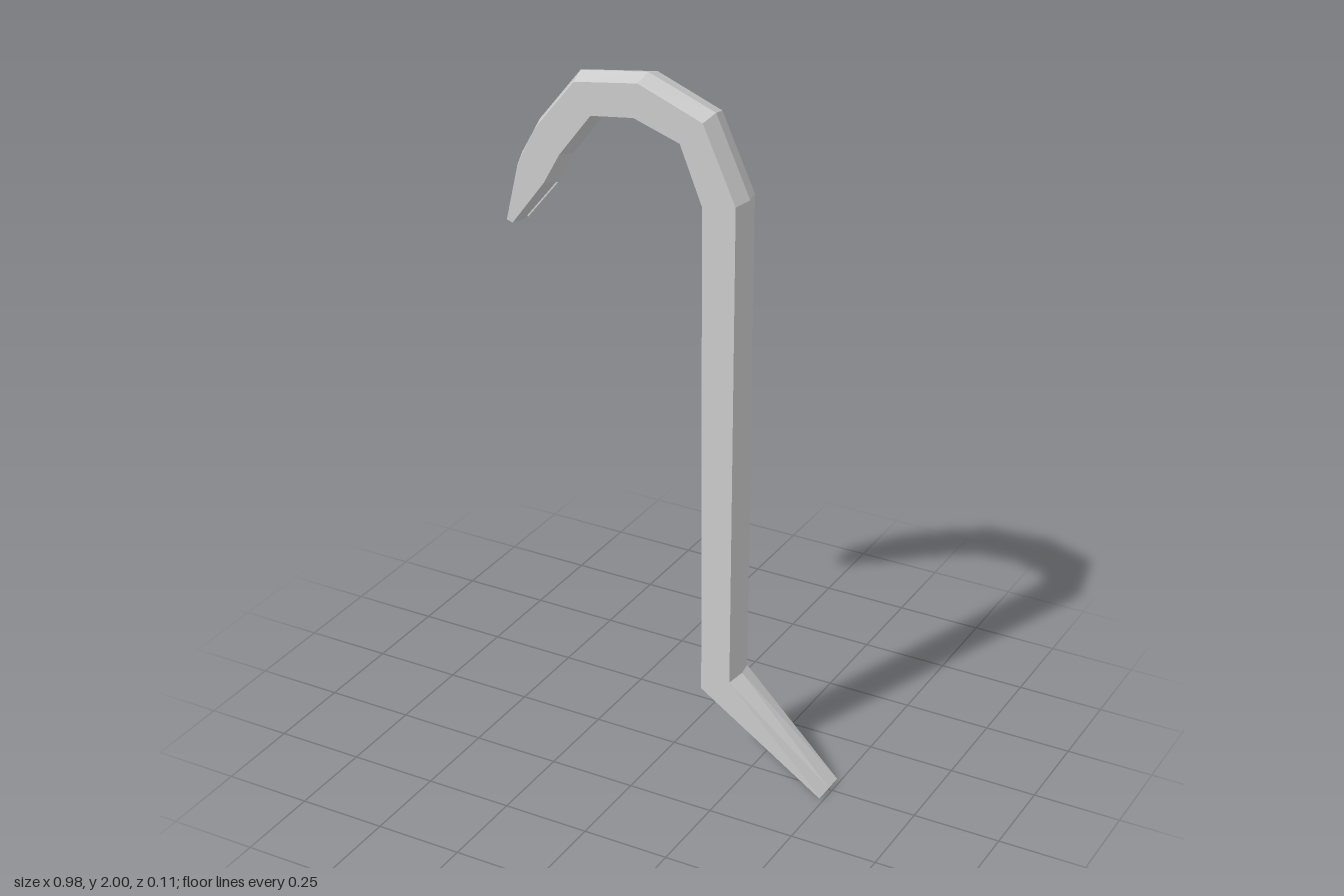
import * as THREE from 'three';

const HALF = 0.053; // half thickness of the bar
const SLOT = 0.012; // half width of the claw slot

// Stations from foot to claw: outer ridge, outer edge, inner edge, inner ridge (x, y each)
const stations = [
  [[0.49, 0.004], [0.49, 0.004], [0.487, 0], [0.487, 0]],
  [[0.215, 0.297], [0.203, 0.29], [0.115, 0.245], [0.102, 0.237]],
  [[0.221, 1.707], [0.207, 1.703], [0.11, 1.685], [0.096, 1.68]],
  [[0.121, 1.925], [0.111, 1.912], [0.045, 1.845], [0.036, 1.832]],
  [[-0.075, 2.0], [-0.077, 1.985], [-0.09, 1.89], [-0.092, 1.876]],
  [[-0.275, 1.972], [-0.265, 1.957], [-0.217, 1.873], [-0.208, 1.86]],
  [[-0.402, 1.815], [-0.388, 1.805], [-0.313, 1.748], [-0.301, 1.738]],
  [[-0.46, 1.71], [-0.442, 1.697], [-0.362, 1.66], [-0.345, 1.648]],
  [[-0.495, 1.537], [-0.48, 1.533], [-0.462, 1.527], [-0.45, 1.522]],
];

// Six-sided section with a ridge on the outside and the inside of the bend
const barRing = ([o, oe, ie, i]) => [
  [...o, 0], [...oe, HALF], [...ie, HALF], [...i, 0], [...ie, -HALF], [...oe, -HALF],
];

// Half section beside the slot, on one side of the middle
function prongRing([o, oe, ie, i], side) {
  const t = SLOT / HALF;
  const mix = (a, b) => a.map((v, k) => v + (b[k] - v) * t);
  const ring = [
    [...mix(o, oe), side * SLOT], [...oe, side * HALF],
    [...ie, side * HALF], [...mix(i, ie), side * SLOT],
  ];
  return side > 0 ? ring : ring.reverse();
}

// Skin a row of rings and close both ends
function loft(rings, name, material) {
  const pos = [];
  const tri = (a, b, c) => pos.push(...a, ...b, ...c);
  const n = rings[0].length;
  for (let r = 0; r < rings.length - 1; r++) {
    const a = rings[r], b = rings[r + 1];
    for (let k = 0; k < n; k++) {
      const m = (k + 1) % n;
      tri(a[k], b[k], b[m]);
      tri(a[k], b[m], a[m]);
    }
  }
  const first = rings[0], last = rings[rings.length - 1];
  for (let k = 1; k < n - 1; k++) {
    tri(first[0], first[k], first[k + 1]);
    tri(last[0], last[k + 1], last[k]);
  }
  const geometry = new THREE.BufferGeometry();
  geometry.setAttribute('position', new THREE.Float32BufferAttribute(pos, 3));
  geometry.computeVertexNormals();
  const mesh = new THREE.Mesh(geometry, material);
  mesh.name = name;
  return mesh;
}

export function createModel() {
  const group = new THREE.Group();
  group.name = 'crowbar';
  const material = new THREE.MeshStandardMaterial({ color: 0xcccccc, flatShading: true });

  // Chisel foot, shaft and hook
  group.add(loft(stations.slice(0, 2).map(barRing), 'chiselFoot', material));
  group.add(loft(stations.slice(1, 3).map(barRing), 'shaft', material));
  group.add(loft(stations.slice(2, 8).map(barRing), 'hook', material));

  // Two prongs of the nail claw
  for (const side of [1, -1]) {
    const rings = stations.slice(7).map((s) => prongRing(s, side));
    group.add(loft(rings, side > 0 ? 'frontProng' : 'backProng', material));
  }
  return group;
}
